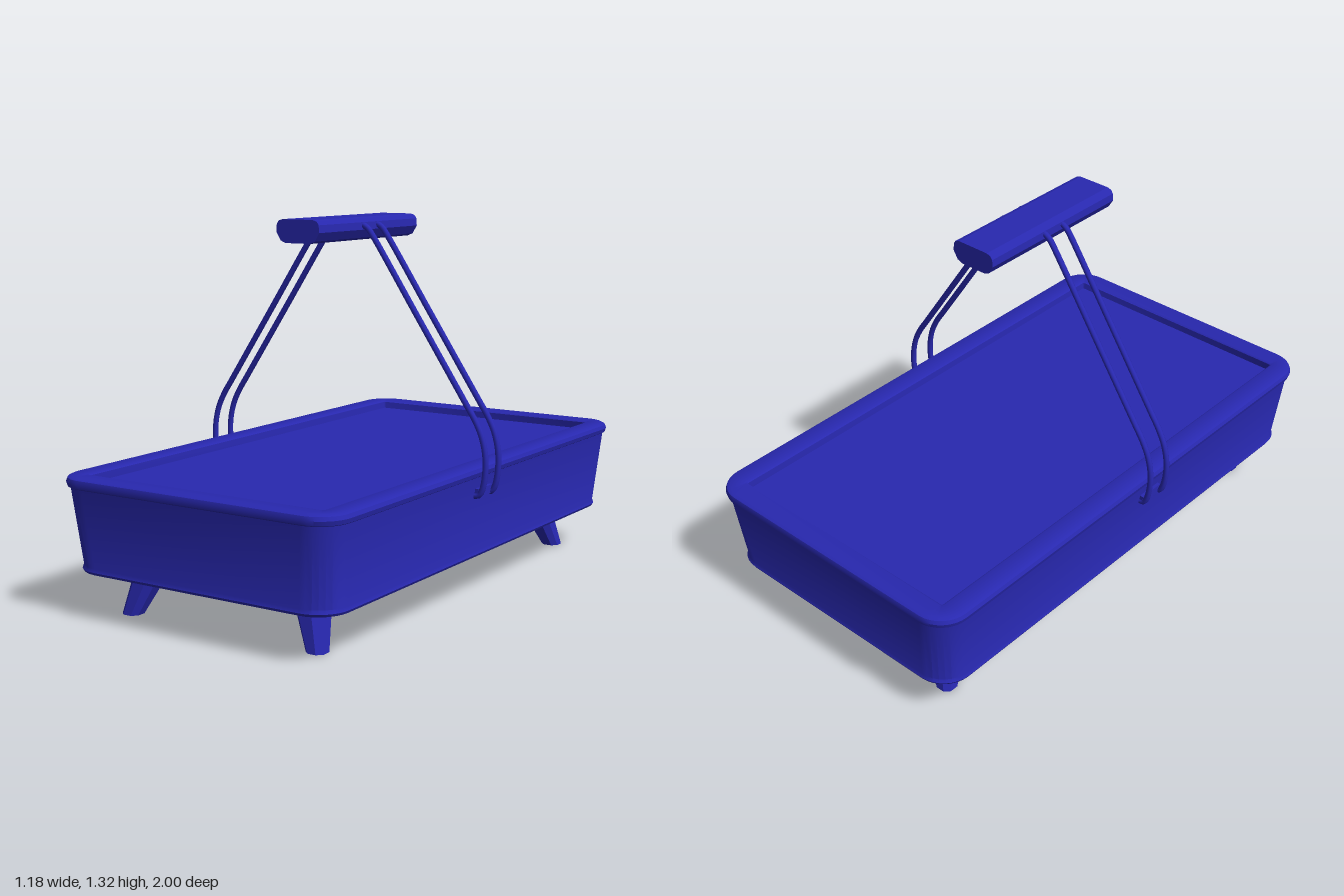
import * as THREE from 'three';
import { toCreasedNormals } from 'three/addons/utils/BufferGeometryUtils.js';

const material = new THREE.MeshStandardMaterial({ color: 0x2828b0 });

// Loft through rounded-rectangle sections [halfX, halfZ, radius, y, centreX, centreZ], bottom first
function loft(sections, cornerSegs, crease) {
  const positions = [], index = [];
  const n = 4 * (cornerSegs + 1);
  for (const [hx, hz, r, y, cx = 0, cz = 0] of sections) {
    for (let c = 0; c < 4; c++) {
      const sx = c === 0 || c === 3 ? 1 : -1, sz = c < 2 ? 1 : -1;
      for (let s = 0; s <= cornerSegs; s++) {
        const a = (c + s / cornerSegs) * Math.PI / 2;
        positions.push(cx + sx * (hx - r) + r * Math.cos(a), y, cz + sz * (hz - r) + r * Math.sin(a));
      }
    }
  }
  for (let i = 0; i < sections.length - 1; i++) {
    for (let j = 0; j < n; j++) {
      const a = i * n + j, b = i * n + (j + 1) % n;
      index.push(a, a + n, b + n, a, b + n, b);
    }
  }
  const g = new THREE.BufferGeometry();
  g.setAttribute('position', new THREE.Float32BufferAttribute(positions, 3));
  g.setIndex(index);
  return toCreasedNormals(g, crease);
}

export function createModel() {
  const model = new THREE.Group();
  model.name = 'handledTray';
  const add = (name, geometry) => {
    const mesh = new THREE.Mesh(geometry, material);
    mesh.name = name;
    model.add(mesh);
    return mesh;
  };

  // Tapered tray: bottom bead, leaning wall, rolled rim and recessed top panel
  add('tray', loft([
    [0, 0, 0, 0.155],
    [0.508, 0.95, 0.095, 0.155],
    [0.52, 0.962, 0.107, 0.159],
    [0.525, 0.967, 0.11, 0.168],
    [0.52, 0.962, 0.107, 0.18],
    [0.545, 0.99, 0.107, 0.447],
    [0.552, 0.997, 0.107, 0.451],
    [0.556, 1.0, 0.108, 0.466],
    [0.551, 0.996, 0.105, 0.479],
    [0.54, 0.985, 0.095, 0.485],
    [0.478, 0.922, 0.012, 0.485],
    [0.47, 0.914, 0.006, 0.48],
    [0.468, 0.912, 0.005, 0.455],
    [0, 0, 0, 0.455],
  ], 8, 0.6));

  // Four splayed, tapering legs with chamfered corners
  for (const sx of [-1, 1]) {
    for (const sz of [-1, 1]) {
      add('leg', loft([
        [0, 0, 0, 0, sx * 0.378, sz * 0.815],
        [0.034, 0.034, 0.018, 0, sx * 0.378, sz * 0.815],
        [0.057, 0.057, 0.028, 0.162, sx * 0.324, sz * 0.764],
        [0, 0, 0, 0.162, sx * 0.324, sz * 0.764],
      ], 1, 0.3));
    }
  }

  // Paired bent wires on each side, joined to the tray by a small bracket
  const wirePath = [
    [0.525, 0.385], [0.553, 0.386], [0.566, 0.405], [0.577, 0.46], [0.577, 0.525],
    [0.562, 0.59], [0.535, 0.645], [0.5, 0.697], [0.3, 0.993], [0.125, 1.252],
    [0.105, 1.277], [0.085, 1.288], [0.05, 1.29],
  ];
  for (const side of [-1, 1]) {
    for (const z of [0.015, 0.106]) {
      const points = wirePath.map(([x, y]) => new THREE.Vector3(side * x, y, z));
      add('handleWire', new THREE.TubeGeometry(new THREE.CatmullRomCurve3(points), 80, 0.0105, 10));
    }
    add('wireBracket', new THREE.BoxGeometry(0.022, 0.03, 0.1)).position.set(side * 0.543, 0.395, 0.06);
  }

  // Grip bar with a bevelled cross-section
  const half = [[0.05, 1.235], [0.07, 1.243], [0.088, 1.272], [0.086, 1.298], [0.078, 1.31], [0.062, 1.315]];
  const outline = [...half, ...half.map(([x, y]) => [-x, y]).reverse()];
  const shape = new THREE.Shape(outline.map(([x, y]) => new THREE.Vector2(x, y)));
  const grip = new THREE.ExtrudeGeometry(shape, { depth: 0.626, bevelEnabled: false });
  add('grip', grip).position.z = -0.248;

  return model;
}
